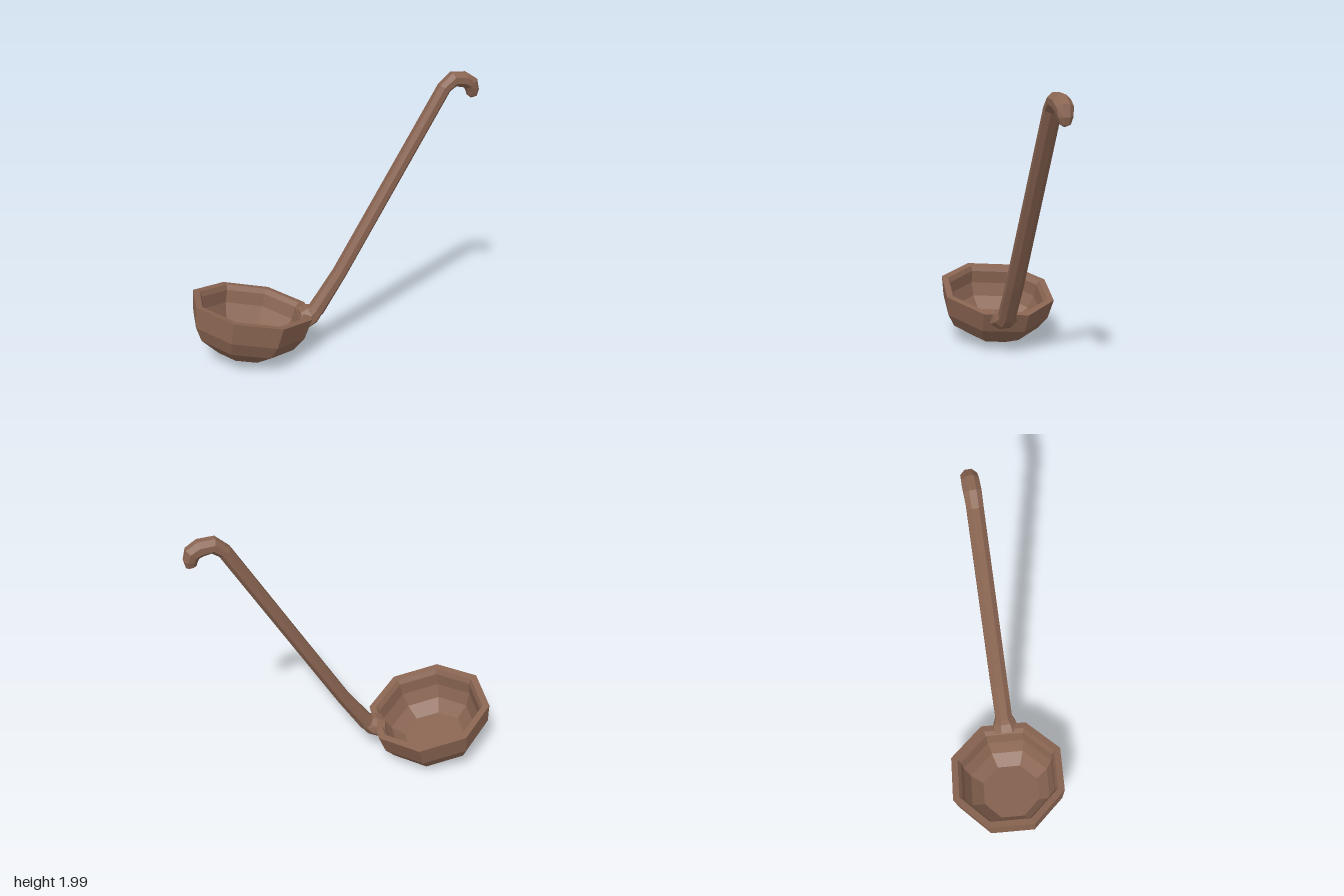
import * as THREE from 'three';

const SIDES = 8;

// Skin a list of 8-point rings with flat facets; collapsed rings act as caps.
function loft(rings) {
  const pos = [];
  const tri = (a, b, c) => {
    const area = b.clone().sub(a).cross(c.clone().sub(a)).length();
    if (area > 1e-7) for (const p of [a, b, c]) pos.push(p.x, p.y, p.z);
  };
  for (let i = 0; i + 1 < rings.length; i++) {
    for (let k = 0; k < SIDES; k++) {
      const n = (k + 1) % SIDES;
      const [a, b, c, d] = [rings[i][k], rings[i][n], rings[i + 1][n], rings[i + 1][k]];
      tri(a, b, d);
      tri(b, c, d);
    }
  }
  const geo = new THREE.BufferGeometry();
  geo.setAttribute('position', new THREE.Float32BufferAttribute(pos, 3));
  geo.computeVertexNormals();
  return geo;
}

const ring = (fn, offset) =>
  Array.from({ length: SIDES }, (_, k) => fn(offset + (k / SIDES) * Math.PI * 2));

// Tilted octagonal bowl: [radius, depth below the rim], inside floor to outside base.
function bowlGeometry() {
  const centre = new THREE.Vector3(-0.57, 0.4, 0.055);
  const slopeX = -0.194, slopeZ = 0.131;
  const axis = new THREE.Vector3(-slopeX, 1, -slopeZ).normalize();
  const profile = [
    [0, 0.3], [0.22, 0.3], [0.31, 0.225], [0.355, 0.13], [0.365, 0.035], [0.387, 0],
    [0.437, 0], [0.41, 0.155], [0.35, 0.257], [0.2, 0.36], [0, 0.365],
  ];
  return loft(profile.map(([r, d]) => ring((a) => {
    const x = r * Math.cos(a), z = r * Math.sin(a);
    return new THREE.Vector3(x, slopeX * x + slopeZ * z, z).add(centre).addScaledVector(axis, -d);
  }, THREE.MathUtils.degToRad(8.5))));
}

// Sweep an octagon along a path in the handle's vertical plane.
// Each station: [x, y, half width, half thickness].
function sweep(stations) {
  const points = stations.map(([x, y]) => new THREE.Vector3(x, y, -0.095 - 0.375 * x));
  const side = new THREE.Vector3(0.375, 0, 1).normalize();
  return loft(stations.map(([, , w, t], i) => {
    const before = points[Math.max(i - 1, 0)];
    const after = points[Math.min(i + 1, points.length - 1)];
    const tangent = after.clone().sub(before).normalize();
    const up = tangent.cross(side);
    return ring((a) => points[i].clone()
      .addScaledVector(side, w * 1.08 * Math.cos(a))
      .addScaledVector(up, t * 1.08 * Math.sin(a)), Math.PI / SIDES);
  }));
}

export function createModel() {
  const group = new THREE.Group();
  group.name = 'ladle';
  const wood = new THREE.MeshStandardMaterial({ color: 0x8a6552, flatShading: true });
  const add = (name, geometry) => {
    const mesh = new THREE.Mesh(geometry, wood);
    mesh.name = name;
    group.add(mesh);
  };

  add('bowl', bowlGeometry());

  // Flared joint between bowl and handle
  add('collar', sweep([
    [-0.225, 0.262, 0, 0], [-0.215, 0.267, 0.1, 0.07], [-0.16, 0.295, 0.085, 0.07],
    [-0.12, 0.325, 0.06, 0.05], [-0.1, 0.36, 0, 0],
  ]));

  // Straight shaft ending in a downturned hook
  add('handle', sweep([
    [-0.16, 0.28, 0, 0], [-0.125, 0.318, 0.062, 0.055], [0.042, 0.587, 0.062, 0.046],
    [0.75, 1.887, 0.055, 0.044], [0.812, 1.942, 0.058, 0.05], [0.888, 1.934, 0.058, 0.052],
    [0.935, 1.905, 0.055, 0.05], [0.95, 1.855, 0.045, 0.043], [0.948, 1.818, 0.032, 0.034],
    [0.943, 1.8, 0, 0],
  ]));

  return group;
}
